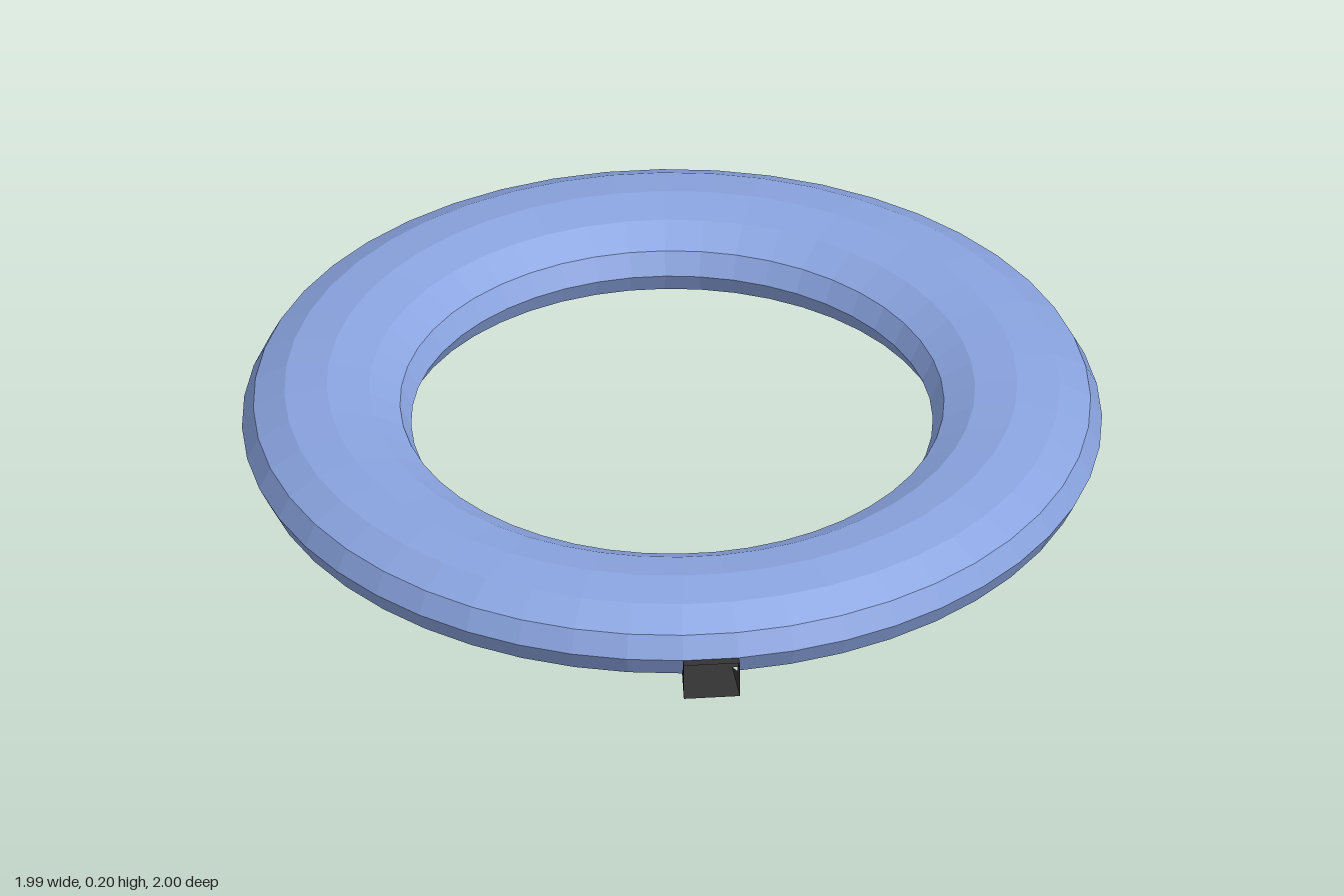
import * as THREE from 'three';

const SEG = 48, STEP = (Math.PI * 2) / SEG;
const MID = 0.7975, RX = 0.1955, RY = 0.1055, CY = RY * Math.sin(Math.PI / 3);

// Point of the 12-sided tube section; i = 0 is the outer rim, counting upward
const section = (i) => {
  const a = (i * Math.PI) / 6;
  return new THREE.Vector2(MID + RX * Math.cos(a), Math.max(0, CY + RY * Math.sin(a)));
};
const range = (from, to) => Array.from({ length: to - from + 1 }, (_, k) => section(from + k));

export function createModel() {
  const group = new THREE.Group();
  const blue = new THREE.MeshStandardMaterial({ color: 0x8aa4e0, flatShading: true });
  const dark = new THREE.MeshStandardMaterial({ color: 0x333333, flatShading: true, side: THREE.DoubleSide });
  const ring = new THREE.Group();
  ring.name = 'ring';
  ring.position.z = -0.007;
  group.add(ring);

  const add = (name, geometry, material) => {
    const mesh = new THREE.Mesh(geometry, material);
    mesh.name = name;
    ring.add(mesh);
  };

  // Tube shell: everything from the outer rim over the top to the inner base
  add('upperShell', new THREE.LatheGeometry(range(0, 8), SEG), blue);

  // Lower outer shell, leaving one segment open for the port
  add('lowerOuterShell', new THREE.LatheGeometry(range(-2, 0), SEG - 1, STEP * 2, STEP * (SEG - 1)), blue);

  // Flat underside
  add('basePlate', new THREE.LatheGeometry([section(8), section(-2)], SEG), dark);

  // Port: a short open sleeve sticking out of the missing segment
  const onRing = (i, angle) => {
    const p = section(i);
    return new THREE.Vector3(p.x * Math.sin(angle), p.y, p.x * Math.cos(angle));
  };
  const outward = new THREE.Vector3(Math.sin(STEP * 1.5), 0, Math.cos(STEP * 1.5)).multiplyScalar(0.022);
  const side = (angle) => {
    const rim = onRing(0, angle);
    const frontTop = rim.clone().add(outward);
    const frontBottom = frontTop.clone().setY(0);
    return { rim, slope: onRing(-1, angle), foot: onRing(-2, angle), frontTop, frontBottom };
  };
  const a = side(STEP), b = side(STEP * 2);
  const panel = (name, points) => {
    const triangles = [];
    for (let i = 1; i < points.length - 1; i++) triangles.push(points[0], points[i], points[i + 1]);
    const geometry = new THREE.BufferGeometry().setFromPoints(triangles);
    geometry.computeVertexNormals();
    add(name, geometry, dark);
  };
  panel('portTop', [a.rim, a.frontTop, b.frontTop, b.rim]);
  panel('portFloor', [a.foot, b.foot, b.frontBottom, a.frontBottom]);
  panel('portRightWall', [a.frontBottom, a.frontTop, a.rim, a.slope, a.foot]);
  panel('portLeftWall', [b.frontBottom, b.foot, b.slope, b.rim, b.frontTop]);

  return group;
}
